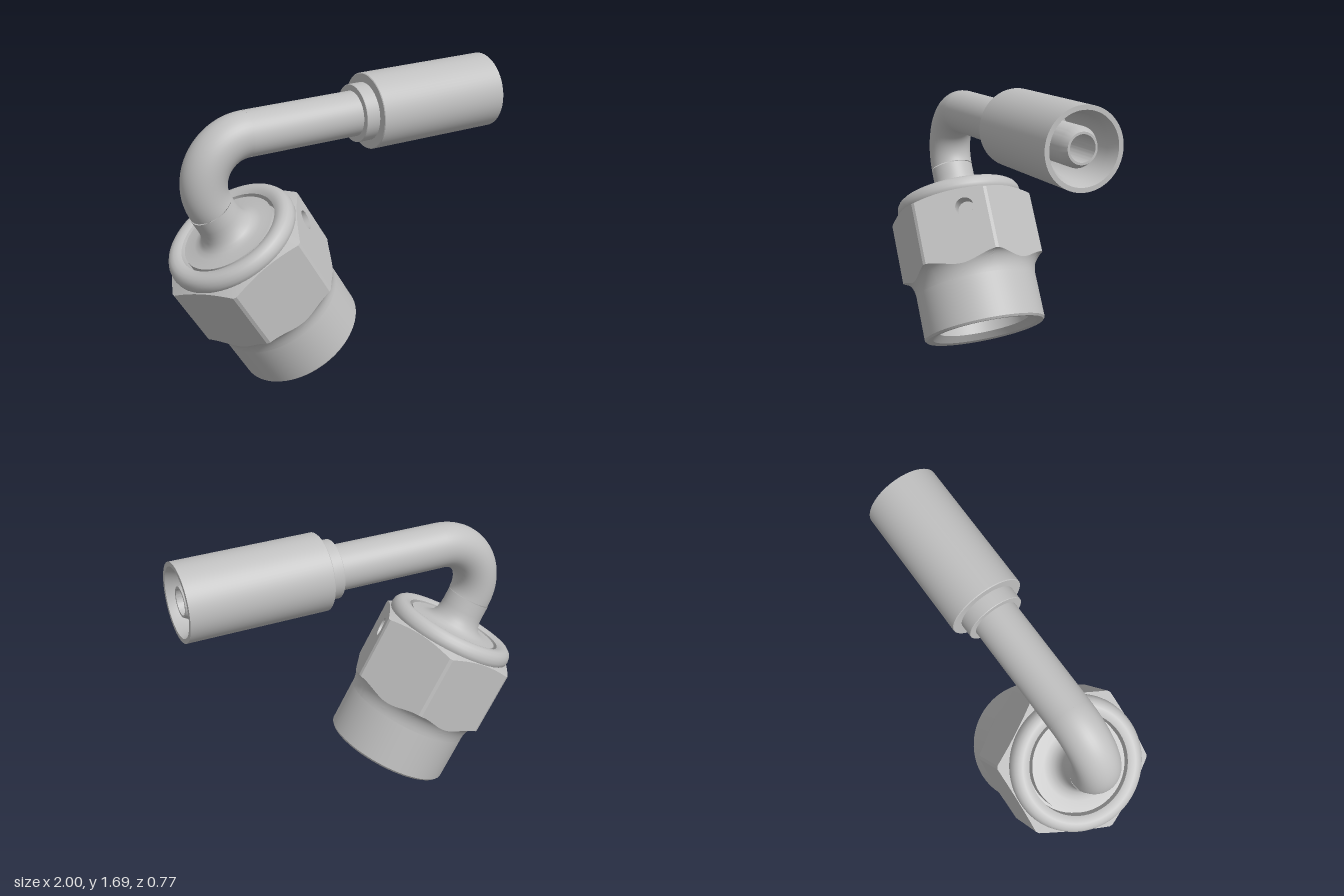
import * as THREE from 'three';
import { toCreasedNormals } from 'three/addons/utils/BufferGeometryUtils.js';

const steel = new THREE.MeshStandardMaterial({ color: 0xc0c0c0, side: THREE.DoubleSide });
steel.name = 'steel';

const FLAT = 0.387;    // hexagon centre to flat
const CORNER = 0.441;  // hexagon centre to blunted corner
const HALF = Math.acos(FLAT / CORNER);
const STEPS = 16;
const HOLE = { u: 0.08, t: 0.683, r: 0.055, depth: 0.1 };

function mesh(name, geometry) {
  const m = new THREE.Mesh(geometry, steel);
  m.name = name;
  return m;
}

function turned(name, profile, segments = 72) {
  const points = profile.map(([r, y]) => new THREE.Vector2(r, y));
  return mesh(name, toCreasedNormals(new THREE.LatheGeometry(points, segments), 0.5));
}

// Height of the cove and of the chamfer where they meet a hexagon of radius r
const reach = (r) => Math.acos(1 - (r - 0.37) / 0.077);
const coveHeight = (r) => 0.28 + 0.12 * Math.sin(reach(r));
const chamferHeight = (r) => 0.8 - 0.45 * (r - FLAT);

// Hexagon with coved underside and chamfered top; side 0 is left open for the drilled flat
function hexGeometry() {
  const rows = 8;
  const columns = [];
  for (let k = 0; k < 6; k++) {
    for (let i = 0; i <= STEPS; i++) {
      const phi = -HALF + (2 * HALF * i) / STEPS;
      const theta = Math.PI / 6 + (k * Math.PI) / 3 + phi;
      const R = FLAT / Math.cos(phi);
      const profile = [];
      for (let j = 0; j <= rows; j++) {
        const a = (reach(R) * j) / rows;
        profile.push([0.37 + 0.077 * (1 - Math.cos(a)), 0.28 + 0.12 * Math.sin(a)]);
      }
      profile.push([R, chamferHeight(R)], [0.36, 0.81]);
      columns.push(profile.map(([r, y]) => [r * Math.cos(theta), y, r * Math.sin(theta)]));
    }
  }
  const n = columns[0].length;
  const index = [];
  columns.forEach((_, c) => {
    const next = (c + 1) % columns.length;
    for (let j = 0; j < n - 1; j++) {
      if (j === rows && c < STEPS) continue;
      const a = c * n + j, b = a + 1, d = next * n + j, e = d + 1;
      index.push(a, b, d, b, e, d);
    }
  });
  const g = new THREE.BufferGeometry();
  g.setAttribute('position', new THREE.Float32BufferAttribute(columns.flat(2), 3));
  g.setIndex(index);
  return toCreasedNormals(g, 0.3);
}

// The flat with the drilled hole, and the hole's wall and floor
function drilledFlat() {
  const group = new THREE.Group();
  group.name = 'drilledFlat';
  const lower = [], upper = [];
  for (let i = 0; i <= STEPS; i++) {
    const phi = -HALF + (2 * HALF * i) / STEPS;
    const R = FLAT / Math.cos(phi);
    const u = FLAT * Math.tan(phi);
    lower.push(new THREE.Vector2(u, coveHeight(R)));
    upper.unshift(new THREE.Vector2(u, chamferHeight(R)));
  }
  const shape = new THREE.Shape([...lower, ...upper]);
  shape.holes.push(new THREE.Path().absarc(HOLE.u, HOLE.t, HOLE.r, 0, Math.PI * 2, true));
  const face = mesh('flatFace', new THREE.ShapeGeometry(shape, 24));
  face.position.z = FLAT;
  const pocket = turned('drilledHole', [[HOLE.r, 0], [HOLE.r, -HOLE.depth], [0, -HOLE.depth]], 32);
  pocket.rotation.x = Math.PI / 2;
  pocket.position.set(HOLE.u, HOLE.t, FLAT);
  group.add(face, pocket);
  group.rotation.y = Math.PI / 3;
  return group;
}

export function createModel() {
  const model = new THREE.Group();
  model.name = 'elbowHoseFitting';

  // Swivel nut, tilted 30 degrees
  const nut = new THREE.Group();
  nut.name = 'swivelNut';
  nut.position.set(-0.23, 0.19, 0);
  nut.rotation.z = Math.PI / 6;
  nut.add(
    turned('nutSkirtAndBore', [
      [0, 0.9], [0.09, 0.9], [0.09, 0.62], [0.2, 0.62], [0.2, 0.5], [0.275, 0.5],
      [0.275, 0.04], [0.32, 0.005], [0.36, 0], [0.37, 0.012], [0.37, 0.28],
    ]),
    mesh('nutHexagon', hexGeometry()),
    drilledFlat(),
    turned('nutCollar', [
      [0.355, 0.785], [0.372, 0.79], [0.383, 0.805], [0.386, 0.825], [0.382, 0.848], [0.37, 0.868],
      [0.352, 0.881], [0.33, 0.885], [0.305, 0.88], [0.288, 0.87], [0.284, 0.8], [0.27, 0.8],
    ]),
    turned('stemFlange', [
      [0.27, 0.8], [0.27, 0.865], [0.205, 0.868], [0.175, 0.876], [0.152, 0.892],
      [0.137, 0.918], [0.129, 0.95], [0.127, 0.98], [0.127, 1.056],
    ]),
  );

  // Bent tube
  const bend = mesh('tubeBend', new THREE.TorusGeometry(0.25, 0.127, 40, 48, (Math.PI * 2) / 3));
  bend.rotation.z = Math.PI / 2;
  bend.position.set(-0.54, 1.235, 0);

  // Straight tube, stop collar, crimp sleeve and inner nipple along +x
  const hoseEnd = new THREE.Group();
  hoseEnd.name = 'hoseEnd';
  hoseEnd.position.y = 1.485;
  hoseEnd.rotation.z = -Math.PI / 2;
  hoseEnd.add(
    turned('straightTube', [[0.127, -0.54], [0.127, 0.12]]),
    turned('stopCollar', [[0.127, 0.12], [0.161, 0.12], [0.163, 0.123], [0.163, 0.2]]),
    turned('crimpSleeve', [
      [0.163, 0.2], [0.211, 0.2], [0.215, 0.204], [0.215, 1], [0.19, 1], [0.165, 0.93],
      [0.165, 0.5], [0.105, 0.5],
    ]),
    turned('hoseNipple', [
      [0.105, 0.5], [0.105, 0.93], [0.082, 0.98], [0.07, 0.98], [0.07, 0.6], [0, 0.55],
    ]),
  );

  model.add(nut, bend, hoseEnd);
  return model;
}
